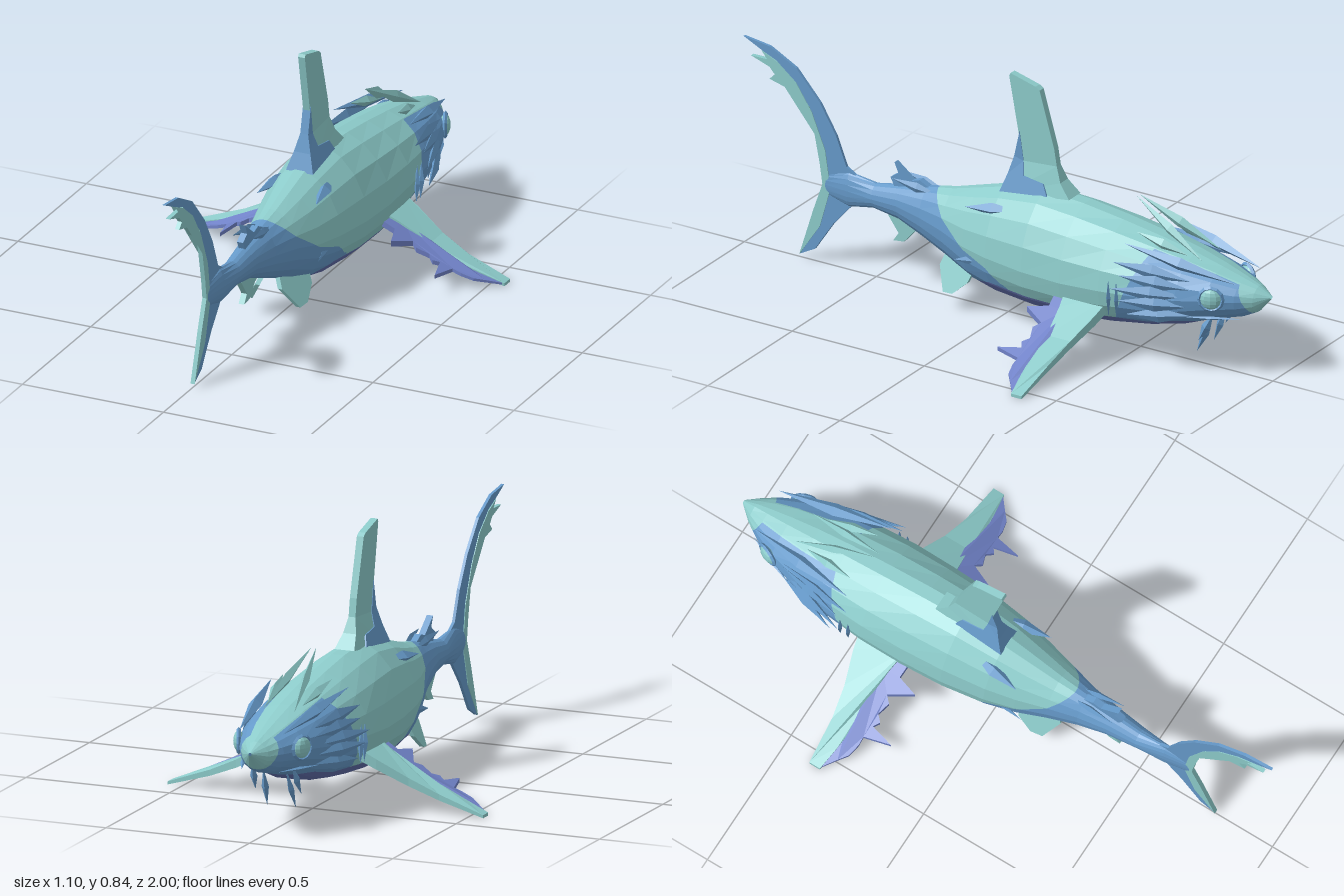
import * as THREE from 'three';

const mat = (name, color) => new THREE.MeshStandardMaterial({ name, color, flatShading: true, side: THREE.DoubleSide });

// Piecewise linear interpolation through [z, value] points
function line(points) {
  return (z) => {
    let i = 1;
    while (i < points.length - 1 && z > points[i][0]) i++;
    const [a, b] = [points[i - 1], points[i]];
    return a[1] + (b[1] - a[1]) * THREE.MathUtils.clamp((z - a[0]) / (b[0] - a[0]), 0, 1);
  };
}

// Keep the part of each triangle where f > 0
function clip(tris, f) {
  const out = [];
  for (const t of tris) {
    const poly = [];
    t.forEach((p, i) => {
      const q = t[(i + 1) % 3], fp = f(p), fq = f(q);
      if (fp >= 0) poly.push(p);
      if (fp * fq < 0) poly.push(p.clone().lerp(q, fp / (fp - fq)));
    });
    for (let i = 2; i < poly.length; i++) out.push([poly[0], poly[i - 1], poly[i]]);
  }
  return out;
}
const split = (tris, f) => [clip(tris, f), clip(tris, (p) => -f(p))];

export function createModel() {
  const model = new THREE.Group();
  model.name = 'shark';
  const teal = mat('teal skin', 0x8ccbca);
  const blue = mat('blue skin', 0x669aca);
  const indigo = mat('indigo belly', 0x626fae);
  const violet = mat('violet fin edge', 0x7082c8);

  const add = (name, geometry, material) => {
    const mesh = new THREE.Mesh(geometry, material);
    mesh.name = name;
    model.add(mesh);
    return mesh;
  };

  // Upright plate from a [z, y] outline, centred on x = 0
  const plate = (name, outline, thick, material, bend) => {
    const shape = new THREE.Shape(outline.map(([z, y]) => new THREE.Vector2(z, y)));
    const g = new THREE.ExtrudeGeometry(shape, { depth: thick, bevelEnabled: false });
    g.translate(0, 0, -thick / 2).rotateY(-Math.PI / 2);
    if (bend) {
      const p = g.attributes.position;
      for (let i = 0; i < p.count; i++) p.setXYZ(i, ...bend(p.getX(i), p.getY(i), p.getZ(i)));
      g.computeVertexNormals();
    }
    return add(name, g, material);
  };

  // Pointed leaf-shaped spike between two points
  const spike = (name, from, to, wide, high, material) => {
    const a = new THREE.Vector3(...from), b = new THREE.Vector3(...to);
    const g = new THREE.OctahedronGeometry(1).scale(wide, high, a.distanceTo(b) / 2);
    const mesh = add(name, g, material);
    mesh.position.copy(a).lerp(b, 0.5);
    mesh.lookAt(b);
  };

  // Body sections: z, half width, top, middle, bottom
  const sections = [
    [-0.995, 0.006, 0.298, 0.293, 0.288], [-0.95, 0.045, 0.325, 0.28, 0.235],
    [-0.9, 0.078, 0.342, 0.28, 0.21], [-0.82, 0.118, 0.367, 0.28, 0.19],
    [-0.72, 0.147, 0.395, 0.27, 0.15], [-0.6, 0.167, 0.42, 0.26, 0.12],
    [-0.45, 0.177, 0.445, 0.25, 0.095], [-0.3, 0.175, 0.465, 0.24, 0.08],
    [-0.15, 0.166, 0.475, 0.24, 0.075], [0, 0.145, 0.45, 0.245, 0.085],
    [0.1, 0.12, 0.42, 0.25, 0.105], [0.2, 0.09, 0.39, 0.27, 0.15],
    [0.3, 0.062, 0.37, 0.28, 0.19], [0.4, 0.045, 0.35, 0.29, 0.23],
    [0.5, 0.034, 0.33, 0.285, 0.245], [0.6, 0.022, 0.345, 0.285, 0.225],
    [0.7, 0.006, 0.32, 0.28, 0.25],
  ];
  const N = 18;
  const rings = sections.map(([z, w, top, mid, bottom]) => Array.from({ length: N }, (_, j) => {
    const a = (j / N) * Math.PI * 2, c = Math.cos(a), s = Math.sin(a);
    const x = w * Math.sign(c) * Math.abs(c) ** (s > 0 ? 1.2 : 0.9);
    return new THREE.Vector3(x, mid + s * (s > 0 ? top - mid : mid - bottom), z);
  }));
  const skin = [];
  for (let i = 0; i + 1 < rings.length; i++) for (let j = 0; j < N; j++) {
    const k = (j + 1) % N, [r, q] = [rings[i], rings[i + 1]];
    skin.push([r[j], r[k], q[j]], [r[k], q[k], q[j]]);
  }
  // Cut the skin along the colour borders
  const bellyTop = line([[-0.85, 0.17], [-0.79, 0.2], [-0.6, 0.155], [-0.2, 0.14], [0.02, 0.15], [0.12, 0.1]]);
  const tailTop = line([[-0.12, 0.08], [-0.03, 0.195], [0.1, 0.24], [0.25, 0.345], [0.32, 0.45]]);
  const headTop = line([[-0.96, 0.19], [-0.9, 0.33], [-0.82, 0.353], [-0.7, 0.38], [-0.52, 0.41], [-0.49, 0.05]]);
  const [upper, belly] = split(skin, (p) => p.y - bellyTop(p.z));
  const [front, tail] = split(upper, (p) => p.y - tailTop(p.z));
  const [back, head] = split(front, (p) => p.y - headTop(p.z));
  const parts = { back: [back, teal], belly: [belly, indigo], tailStem: [tail, blue], headSides: [head, blue] };
  for (const [name, [tris, material]] of Object.entries(parts)) {
    const g = new THREE.BufferGeometry().setFromPoints(tris.flat());
    g.computeVertexNormals();
    add(name, g, material);
  }

  // Dorsal fin, flaring into the back
  const flare = (x, y, z) => [x * (1 + 22 * Math.max(0, 0.55 - y)), y, z];
  plate('dorsalFin', [[-0.25, 0.465], [-0.21, 0.51], [-0.19, 0.56], [-0.18, 0.62], [-0.125, 0.81], [-0.11, 0.82],
    [-0.015, 0.845], [-0.01, 0.835], [-0.05, 0.62], [-0.06, 0.55], [-0.04, 0.5], [-0.02, 0.44]], 0.024, teal, flare);
  plate('dorsalFinRear', [[-0.17, 0.46], [-0.15, 0.495], [-0.075, 0.505], [-0.065, 0.55], [-0.05, 0.65], [-0.03, 0.56],
    [-0.015, 0.5], [0.005, 0.44]], 0.028, blue, flare);

  // Tail fin with a ragged rear edge
  plate('tailFin', [[0.56, 0.33], [0.61, 0.36], [0.65, 0.46], [0.71, 0.56], [0.8, 0.66], [0.9, 0.712],
    [1, 0.725], [0.93, 0.692], [0.86, 0.655], [0.79, 0.585], [0.73, 0.48], [0.69, 0.36], [0.68, 0.27],
    [0.71, 0.15], [0.785, 0.015], [0.73, 0.045], [0.66, 0.15], [0.59, 0.23]], 0.01, blue);
  plate('tailFinEdge', [[0.93, 0.692], [0.87, 0.667], [0.97, 0.665], [0.9, 0.642], [0.88, 0.62], [0.9, 0.6],
    [0.84, 0.585], [0.8, 0.54], [0.75, 0.54], [0.73, 0.45], [0.71, 0.35], [0.7, 0.28], [0.735, 0.18],
    [0.787, 0.015], [0.71, 0.13], [0.67, 0.27], [0.69, 0.4], [0.74, 0.52], [0.8, 0.61], [0.87, 0.665]], 0.015, teal);

  // Small fins under and over the tail stem
  plate('analFin', [[0.32, 0.21], [0.35, 0.2], [0.39, 0.155], [0.43, 0.15], [0.41, 0.18], [0.45, 0.235], [0.36, 0.25]], 0.02, teal);
  plate('rearDorsalFin', [[0.28, 0.36], [0.33, 0.385], [0.36, 0.375], [0.425, 0.425], [0.41, 0.39],
    [0.44, 0.37], [0.42, 0.33], [0.32, 0.35]], 0.022, blue);

  const drop = line([[0.12, 0.18], [0.2, 0.14], [0.3, 0.088], [0.4, 0.047], [0.55, 0.002]]);
  for (const s of [1, -1]) {
    const side = s > 0 ? 'left' : 'right';
    // Pectoral fin: [x, z] outline laid flat and bent down towards the tip
    const pectoral = (name, outline, low, high, material) => {
      const shape = new THREE.Shape(outline.map(([x, z]) => new THREE.Vector2(s * x, z)));
      const g = new THREE.ExtrudeGeometry(shape, { depth: 1, bevelEnabled: false }).rotateX(Math.PI / 2);
      const p = g.attributes.position;
      for (let i = 0; i < p.count; i++) {
        const x = Math.abs(p.getX(i));
        p.setY(i, drop(x) + (p.getY(i) < -0.5 ? low : high) * (1.4 - 2 * x));
      }
      g.computeVertexNormals();
      add(side + name, g, material);
    };
    pectoral('PectoralFin', [[0.12, -0.47], [0.2, -0.455], [0.3, -0.425], [0.4, -0.408], [0.55, -0.4],
      [0.55, -0.36], [0.47, -0.345], [0.4, -0.335], [0.3, -0.335], [0.2, -0.32], [0.12, -0.3]], 0, 0.034, teal);
    pectoral('PectoralEdge', [[0.12, -0.34], [0.2, -0.345], [0.3, -0.355], [0.4, -0.355], [0.55, -0.365],
      [0.5, -0.325], [0.47, -0.3], [0.43, -0.29], [0.4, -0.29], [0.38, -0.2], [0.36, -0.28], [0.34, -0.265],
      [0.32, -0.285], [0.28, -0.27], [0.26, -0.29], [0.22, -0.21], [0.2, -0.28], [0.12, -0.27]], 0.007, 0.027, violet);

    // Pelvic fin, splayed outwards
    plate(side + 'PelvicFin', [[0.08, 0.17], [0.1, 0.11], [0.15, 0.065], [0.19, 0.06], [0.23, 0.13],
      [0.21, 0.19]], 0.016, teal, (x, y, z) => [x + s * (0.05 + (0.15 - y) * 0.5 + (0.15 - z) * 0.25), y, z]);

    // Flank fins
    spike(side + 'FlankFin', [s * 0.07, 0.4, -0.09], [s * 0.105, 0.385, 0.1], 0.024, 0.022, blue);
    spike(side + 'FlankBarb', [s * 0.105, 0.23, -0.06], [s * 0.125, 0.2, 0.13], 0.012, 0.025, blue);
    spike(side + 'StemBarb', [s * 0.02, 0.35, 0.24], [s * 0.035, 0.38, 0.42], 0.01, 0.018, blue);

    // Crests sweeping back to a point over the neck, with a shorter one outside
    spike(side + 'Crest', [s * 0.055, 0.385, -0.77], [s * 0.008, 0.53, -0.49], 0.014, 0.02, teal);
    spike(side + 'OuterCrest', [s * 0.06, 0.395, -0.72], [s * 0.085, 0.445, -0.54], 0.016, 0.018, teal);

    // Brow ridge
    spike(side + 'Brow', [s * 0.075, 0.345, -0.91], [s * 0.135, 0.42, -0.52], 0.022, 0.022, blue);

    // Cheek frills lying over the gills: start height, tip x, y and z
    for (const [y0, x, y, z] of [[0.34, 0.165, 0.36, -0.5], [0.31, 0.18, 0.325, -0.53], [0.28, 0.205, 0.285, -0.51],
      [0.25, 0.205, 0.25, -0.54], [0.22, 0.185, 0.2, -0.56]]) {
      spike(side + 'CheekFrill', [s * 0.125, y0, -0.77], [s * x, y, z], 0.013, 0.026, blue);
    }
    for (let i = 0; i < 2; i++) {
      spike(side + 'Gill', [s * 0.178, 0.3, -0.49 - i * 0.03], [s * 0.175, 0.17, -0.49 - i * 0.03], 0.008, 0.012, blue);
    }

    // Eye in its socket
    const eye = add(side + 'Eye', new THREE.SphereGeometry(0.035, 10, 8).scale(0.5, 1, 1), teal);
    eye.position.set(s * 0.11, 0.29, -0.835);
    const socket = add(side + 'EyeSocket', new THREE.TorusGeometry(0.038, 0.007, 4, 12).rotateY(Math.PI / 2), blue);
    socket.position.copy(eye.position);
    eye.rotation.y = socket.rotation.y = s * 0.4;

    // Mouth line and chin barbels
    spike(side + 'Mouth', [s * 0.062, 0.222, -0.92], [s * 0.135, 0.215, -0.74], 0.008, 0.006, blue);
    spike(side + 'ChinBarbel', [s * 0.04, 0.2, -0.8], [s * 0.05, 0.065, -0.745], 0.012, 0.014, blue);
    spike(side + 'JawBarb', [s * 0.07, 0.22, -0.82], [s * 0.08, 0.12, -0.77], 0.012, 0.016, blue);
  }
  return model;
}
